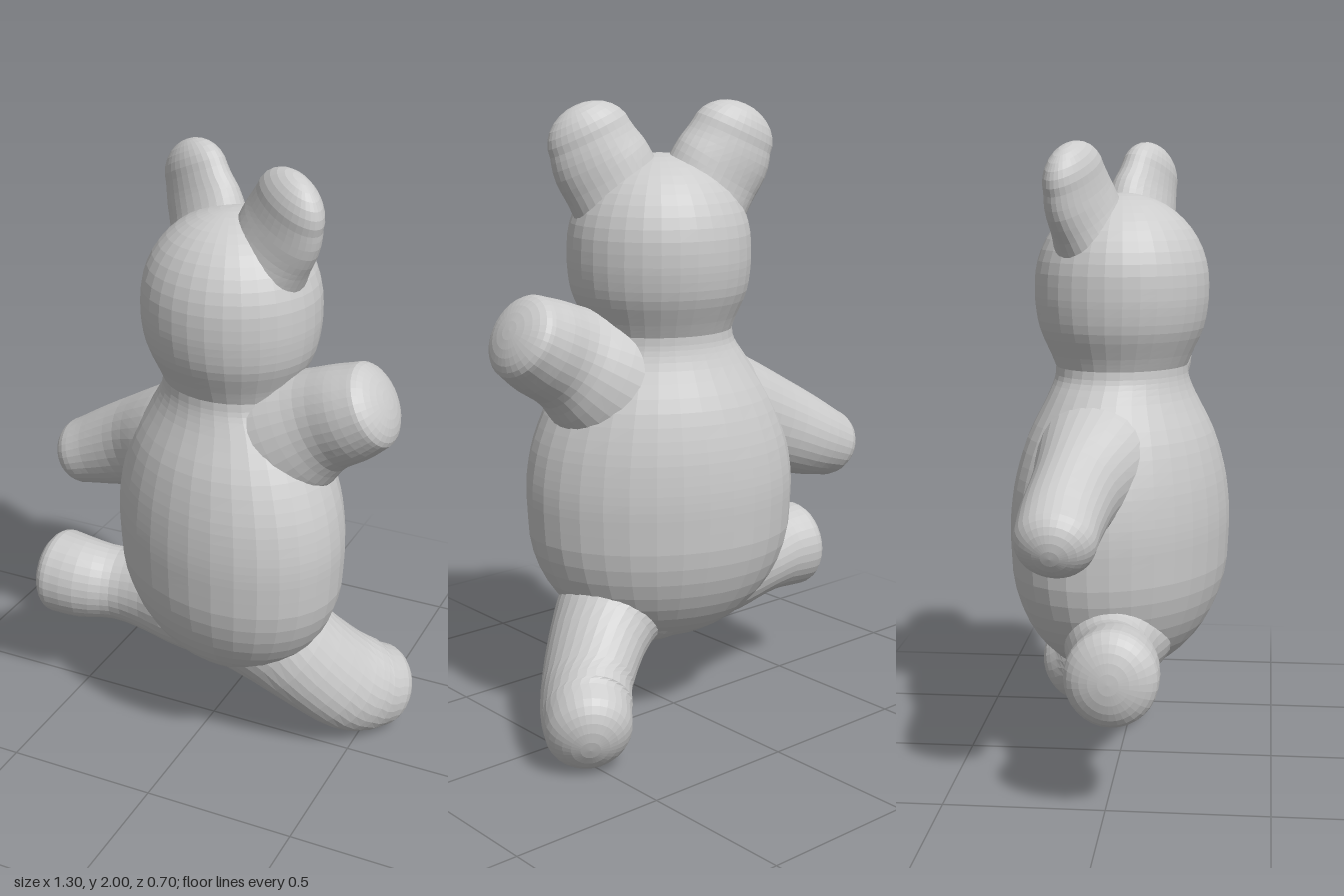
import * as THREE from 'three';

const SIDES = 32;
const material = new THREE.MeshStandardMaterial({ color: 0xcccccc, flatShading: true, side: THREE.DoubleSide });

// Skin elliptical rings along a smooth path.
// Station: [x, y, z, radius along "wide" axis, radius across it]; caps are lengths of rounded ends.
function loft(name, stations, wide, { startCap = 0, endCap = 0, steps = 3, capSteps = 7 } = {}) {
  const path = new THREE.CatmullRomCurve3(stations.map(s => new THREE.Vector3(s[0], s[1], s[2])), false, 'catmullrom');
  const size = new THREE.CatmullRomCurve3(stations.map(s => new THREE.Vector3(s[3], s[4], 0)), false, 'catmullrom');
  const rings = [];
  const addRing = (t, shift = 0, scale = 1) => {
    const T = path.getTangent(t);
    rings.push({ T, c: path.getPoint(t).addScaledVector(T, shift), r: size.getPoint(t).multiplyScalar(scale) });
  };
  const count = (stations.length - 1) * steps;
  if (startCap) {
    for (let i = capSteps; i > 0; i--) {
      const a = (i / capSteps) * Math.PI / 2;
      addRing(0, -startCap * Math.sin(a), Math.cos(a));
    }
  }
  for (let i = 0; i <= count; i++) addRing(i / count);
  if (endCap) {
    for (let i = 1; i <= capSteps; i++) {
      const a = (i / capSteps) * Math.PI / 2;
      addRing(1, endCap * Math.sin(a), Math.cos(a));
    }
  }

  const positions = [], index = [];
  rings.forEach(({ T, c, r }, i) => {
    const U = wide.clone().addScaledVector(T, -wide.dot(T)).normalize();
    const V = new THREE.Vector3().crossVectors(T, U);
    for (let j = 0; j < SIDES; j++) {
      const a = (j / SIDES) * Math.PI * 2;
      const p = c.clone().addScaledVector(U, r.x * Math.cos(a)).addScaledVector(V, r.y * Math.sin(a));
      positions.push(p.x, p.y, p.z);
      if (i < rings.length - 1) {
        const k = i * SIDES + j, n = i * SIDES + (j + 1) % SIDES;
        index.push(k, n, n + SIDES, k, n + SIDES, k + SIDES);
      }
    }
  });
  const geometry = new THREE.BufferGeometry();
  geometry.setAttribute('position', new THREE.Float32BufferAttribute(positions, 3));
  geometry.setIndex(index);
  geometry.computeVertexNormals();
  const mesh = new THREE.Mesh(geometry, material);
  mesh.name = name;
  return mesh;
}

export function createModel() {
  const model = new THREE.Group();
  model.name = 'toyBear';
  const X = new THREE.Vector3(1, 0, 0);
  const Z = new THREE.Vector3(0, 0, 1);

  // Torso, head and ears are turned a little to the side
  const trunk = new THREE.Group();
  trunk.name = 'trunk';
  trunk.position.x = 0.06;
  trunk.rotation.y = -THREE.MathUtils.degToRad(27);
  model.add(trunk);

  // [height, half width, half depth]; the rounded ends are half ellipsoids
  const upright = list => list.map(([y, a, b]) => [0, y, 0, a, b]);
  trunk.add(loft('torso', upright([
    [0.7, 0.43, 0.32], [0.78, 0.433, 0.323], [0.86, 0.427, 0.32], [0.96, 0.405, 0.308], [1.08, 0.355, 0.278],
    [1.2, 0.28, 0.225], [1.26, 0.24, 0.207], [1.3, 0.231, 0.204],
  ]), X, { startCap: 0.42, capSteps: 12 }));
  trunk.add(loft('head', upright([
    [1.3, 0.231, 0.204], [1.34, 0.245, 0.222], [1.42, 0.278, 0.258], [1.5, 0.289, 0.273], [1.56, 0.289, 0.275],
  ]), X, { endCap: 0.285, capSteps: 12 }));

  // Ears: flattened lobes, leaning outwards
  for (const [name, s] of [['leftEar', 1], ['rightEar', -1]]) {
    trunk.add(loft(name, [
      [s * 0.11, 1.66, -0.02, 0.15, 0.13],
      [s * 0.155, 1.76, -0.03, 0.152, 0.1],
      [s * 0.195, 1.83, -0.035, 0.15, 0.085],
      [s * 0.222, 1.89, -0.035, 0.135, 0.075],
    ], X, { endCap: 0.11 }));
  }

  // Raised left arm
  model.add(loft('leftArm', [
    [0.12, 1.07, 0.02, 0.22, 0.26],
    [0.29, 1.175, 0.04, 0.175, 0.21],
    [0.39, 1.235, 0.05, 0.143, 0.167],
    [0.48, 1.28, 0.055, 0.148, 0.153],
    [0.545, 1.315, 0.055, 0.142, 0.137],
  ], Z, { endCap: 0.06 }));

  // Lowered right arm
  model.add(loft('rightArm', [
    [0, 1.06, -0.03, 0.23, 0.22],
    [-0.16, 1.01, -0.07, 0.19, 0.19],
    [-0.32, 0.95, -0.11, 0.14, 0.157],
    [-0.46, 0.89, -0.135, 0.13, 0.134],
    [-0.55, 0.855, -0.14, 0.125, 0.115],
  ], Z, { endCap: 0.095 }));

  // Left leg stretched down and back, ending in a plump foot
  model.add(loft('leftLeg', [
    [0.14, 0.5, 0.05, 0.21, 0.2],
    [0.3, 0.36, 0, 0.16, 0.175],
    [0.425, 0.235, -0.08, 0.138, 0.17],
    [0.485, 0.175, -0.15, 0.14, 0.163],
    [0.525, 0.148, -0.21, 0.135, 0.145],
  ], X, { endCap: 0.1 }));

  // Right leg stretched sideways
  model.add(loft('rightLeg', [
    [0.12, 0.455, 0, 0.19, 0.18],
    [-0.06, 0.455, 0, 0.185, 0.172],
    [-0.22, 0.445, -0.01, 0.15, 0.15],
    [-0.36, 0.44, 0, 0.124, 0.127],
    [-0.48, 0.447, 0.027, 0.136, 0.142],
    [-0.57, 0.45, 0.025, 0.142, 0.148],
  ], Z, { startCap: 0.14, endCap: 0.075 }));

  return model;
}
